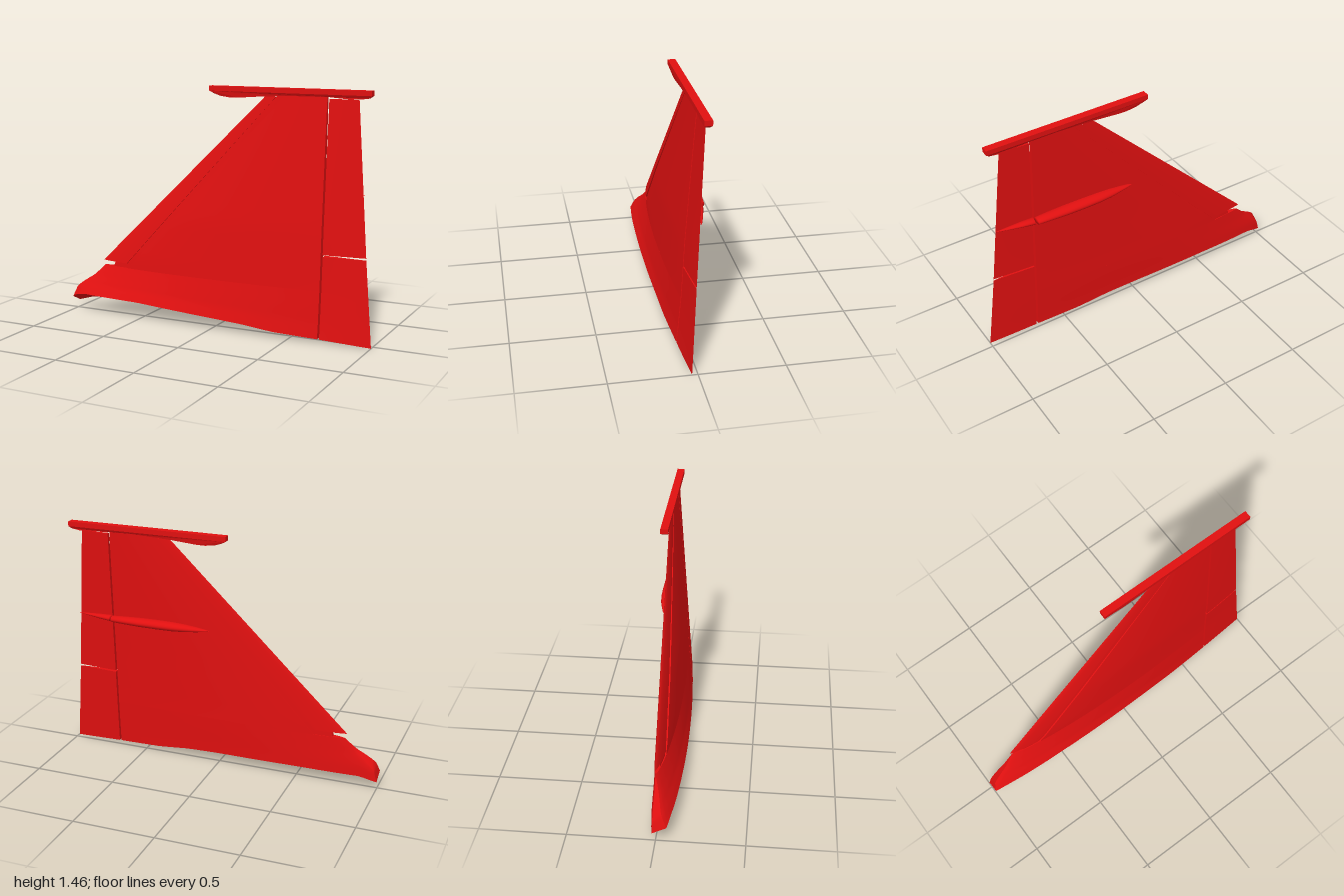
import * as THREE from 'three';
import { toCreasedNormals } from 'three/addons/utils/BufferGeometryUtils.js';

const red = new THREE.MeshStandardMaterial({ color: 0xe01010, side: THREE.DoubleSide });
const lerp = THREE.MathUtils.lerp;

// piecewise linear lookup through [key, value] pairs
const table = (pts) => (k) => {
  let i = 1;
  while (i < pts.length - 1 && k > pts[i][0]) i++;
  const [a, b] = [pts[i - 1], pts[i]];
  return lerp(a[1], b[1], (k - a[0]) / (b[0] - a[0]));
};

// planform: leading edge, trailing edge, slat line (x at span height y)
const leadX = table([[0, -1], [0.08, -0.98], [0.19, -0.87], [0.305, -0.8], [0.335, -0.81], [1.42, 0.3]]);
const trailX = table([[0, 1], [0.51, 0.95], [1.42, 0.87]]);
const slatX = table([[0.335, -0.62], [1.42, 0.37]]);
const boxX = table([[0.305, -0.61], [1.42, 0.42]]);
const hingeX = () => 0.682;
const flapX = () => 0.694;

// section: edge heights and thickness above and below the chord
const leadUpper = table([[0, 0.06], [0.1, 0.025], [0.305, -0.02], [0.65, -0.03], [1.42, -0.05]]);
const leadLower = table([[0, -0.02], [0.305, -0.02], [0.65, -0.03], [1.42, -0.05]]);
const trailZ = table([[0, 0.033], [1.42, -0.05]]);
const bulgeUpper = table([[0, 0.057], [0.305, 0.06], [0.65, 0.056], [1.42, 0.012]]);
const bulgeLower = table([[0, 0.042], [0.305, 0.04], [0.65, 0.03], [1.42, 0.012]]);

// curved root edge of each skin
const rootUpper = table([[-1, 0.09], [-0.97, 0.11], [-0.9, 0.12], [-0.5, 0.115], [0, 0.08], [0.2, 0.065], [0.4, 0.04], [0.69, 0.025], [1, 0.004]]);
const rootLower = table([[-1, 0.05], [-0.9, 0.078], [-0.5, 0.08], [0, 0.073], [0.2, 0.064], [0.4, 0.04], [0.69, 0.025], [1, 0.004]]);

function skinPoint(x, y, upper, scale) {
  const t = THREE.MathUtils.clamp((x - leadX(y)) / (trailX(y) - leadX(y)), 0, 1);
  const shape = 3.17 * Math.pow(t, 0.7) * (1 - t) * scale;
  const z = upper
    ? lerp(leadUpper(y), trailZ(y), t) + bulgeUpper(y) * shape
    : lerp(leadLower(y), trailZ(y), t) - bulgeLower(y) * shape;
  const root = (upper ? rootUpper : rootLower)(x);
  return [x, y < 0.3 ? root + y * (1 - root / 0.3) : y, z];
}

// closed solid cut from the wing between two x lines and two heights
function panel(name, xa, xb, y0, y1, nu, nv, scale = 1) {
  const pos = [], index = [], ring = 2 * (nu + 1);
  for (let j = 0; j <= nv; j++) {
    const y = lerp(y0, y1, j / nv);
    for (let k = 0; k < ring; k++) {
      const upper = k <= nu;
      const u = (upper ? k : ring - 1 - k) / nu;
      // denser columns toward the nose
      pos.push(...skinPoint(lerp(xa(y), xb(y), Math.pow(u, 1.3)), y, upper, scale));
    }
  }
  const quad = (a, b, c, d) => index.push(a, b, c, a, c, d);
  for (let j = 0; j < nv; j++)
    for (let k = 0; k < ring; k++) {
      const a = j * ring + k, b = j * ring + (k + 1) % ring;
      quad(a, b, b + ring, a + ring);
    }
  const top = nv * ring;
  for (let k = 0; k < nu; k++) {
    const l = ring - 1 - k;
    quad(k, l, l - 1, k + 1);
    quad(top + k, top + k + 1, top + l - 1, top + l);
  }
  const g = new THREE.BufferGeometry();
  g.setAttribute('position', new THREE.Float32BufferAttribute(pos, 3));
  g.setIndex(index);
  return mesh(name, toCreasedNormals(g, 0.5));
}

function mesh(name, geometry) {
  const m = new THREE.Mesh(geometry, red);
  m.name = name;
  return m;
}

// streamlined body turned along x, oval in section
function pod(name, profile) {
  const g = new THREE.LatheGeometry(profile.map(([x, r]) => new THREE.Vector2(r, x)), 20);
  g.rotateZ(-Math.PI / 2);
  g.scale(1, 0.027, 0.043);
  // reversed run direction along x keeps faces outward
  return mesh(name, g);
}

function tipRail() {
  const rail = new THREE.Group();
  rail.name = 'tipRail';
  const depth = 0.045, z0 = -0.07;
  const extrude = (pts) => new THREE.ExtrudeGeometry(
    new THREE.Shape(pts.map((p) => new THREE.Vector2(...p))), { depth, bevelEnabled: false });

  const beam = extrude([[-0.06, 1.437], [0.95, 1.437], [0.95, 1.466], [-0.06, 1.466]]);
  beam.translate(0, 0, z0);
  rail.add(mesh('railBeam', beam));

  // keel narrows toward its lower edge
  const keel = extrude([[-0.06, 1.437], [-0.03, 1.421], [0.01, 1.408], [0.07, 1.4], [0.13, 1.401],
    [0.28, 1.413], [0.45, 1.421], [0.68, 1.424], [0.8, 1.415], [0.88, 1.415], [0.93, 1.422], [0.95, 1.437]]);
  const p = keel.attributes.position;
  for (let i = 0; i < p.count; i++) {
    const s = p.getY(i) < 1.43 ? 0.6 : 1;
    p.setZ(i, z0 + depth / 2 + (p.getZ(i) - depth / 2) * s);
  }
  keel.computeVertexNormals();
  rail.add(mesh('railKeel', keel));
  return rail;
}

export function createModel() {
  const wing = new THREE.Group();
  wing.name = 'wing';

  // fixed structure: root fairing, main box and the thinner nose behind the slat
  wing.add(panel('wingRoot', leadX, hingeX, 0, 0.305, 32, 12));
  wing.add(panel('wingBox', boxX, hingeX, 0.305, 1.425, 28, 20));
  wing.add(panel('wingNose', (y) => leadX(y) + 0.075, boxX, 0.305, 1.42, 6, 20, 0.8));

  // moving surfaces
  wing.add(panel('leadingEdgeSlat', leadX, slatX, 0.335, 1.415, 10, 20));
  wing.add(panel('innerFlap', flapX, trailX, 0, 0.508, 8, 8));
  wing.add(panel('outerFlap', flapX, trailX, 0.519, 1.412, 8, 12));

  // actuator fairing on the rear skin, split at the hinge
  const front = pod('actuatorFairing', [[0.04, 0], [0.07, 0.25], [0.12, 0.5], [0.2, 0.82], [0.28, 0.97],
    [0.38, 1], [0.5, 0.95], [0.6, 0.82], [0.68, 0.68], [0.68, 0]]);
  front.position.set(0, 0.878, -0.062);
  const rear = pod('actuatorFairingTail', [[0, 0], [0, 0.66], [0.08, 0.5], [0.16, 0.27], [0.235, 0]]);
  rear.position.set(0.695, 0.878, -0.053);
  rear.rotation.y = -0.12;
  wing.add(front, rear);

  wing.add(tipRail());
  return wing;
}
